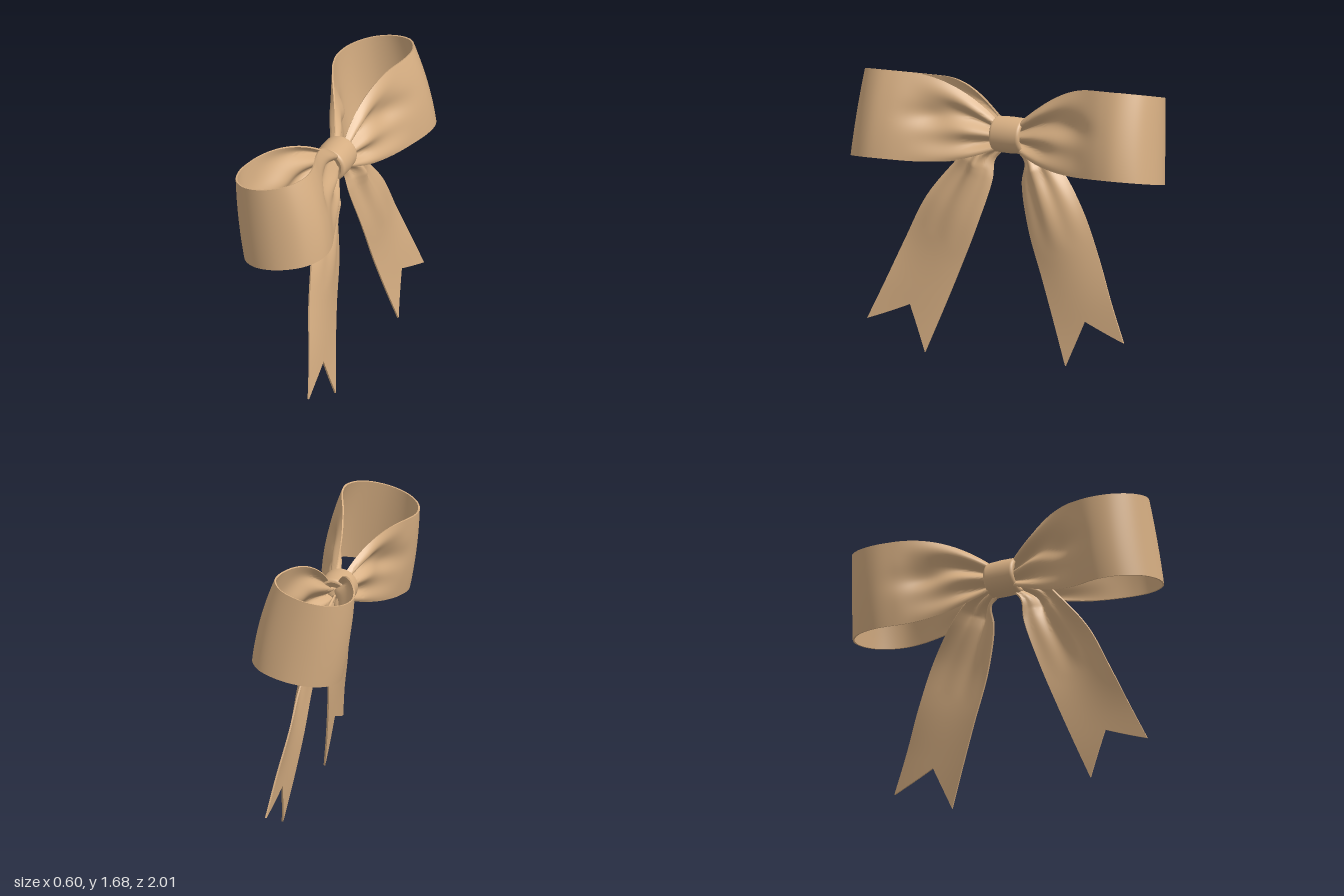
import * as THREE from 'three';
import { toCreasedNormals } from 'three/addons/utils/BufferGeometryUtils.js';

const THICK = 0.01;
const KNOT_Y = 1.325;
const clamp = THREE.MathUtils.clamp;

// Thin solid ribbon from a mid-surface f(u, v), u along and v across, both 0..1
function ribbon(f, nu, nv) {
  const pos = [], index = [], ring = 2 * (nv + 1), e = 0.004;
  const at = (u, v, side) => {
    const du = f(Math.min(u + e, 1), v).sub(f(Math.max(u - e, 0), v));
    const dv = f(u, Math.min(v + e, 1)).sub(f(u, Math.max(v - e, 0)));
    const n = du.cross(dv).normalize();
    return f(u, v).addScaledVector(n, side * THICK / 2);
  };
  for (let i = 0; i <= nu; i++) {
    for (let j = 0; j <= nv; j++) pos.push(...at(i / nu, j / nv, 1).toArray());
    for (let j = nv; j >= 0; j--) pos.push(...at(i / nu, j / nv, -1).toArray());
  }
  for (let i = 0; i < nu; i++) {
    for (let j = 0; j < ring; j++) {
      const k = (j + 1) % ring;
      const a = i * ring + j, b = a + ring, c = (i + 1) * ring + k, d = i * ring + k;
      index.push(a, b, c, a, c, d);
    }
  }
  // cap the free end
  const base = nu * ring;
  for (let j = 0; j < nv; j++) {
    const a = base + j, b = a + 1, d = base + ring - 1 - j, c = d - 1;
    index.push(a, d, c, a, c, b);
  }
  const g = new THREE.BufferGeometry();
  g.setAttribute('position', new THREE.Float32BufferAttribute(pos, 3));
  g.setIndex(index);
  return toCreasedNormals(g, 0.9);
}

// Teardrop path of a loop, as (z, x), from the knot out along +x and back along -x
const loopPath = new THREE.CatmullRomCurve3([
  [0.05, 0.03], [0.12, 0.046], [0.3, 0.1], [0.5, 0.172], [0.7, 0.24], [0.82, 0.24],
  [0.93, 0.165], [0.98, 0.01], [0.95, -0.14], [0.86, -0.24], [0.74, -0.274],
  [0.62, -0.25], [0.5, -0.2], [0.3, -0.11], [0.12, -0.046], [0.05, -0.03],
].map(([z, x]) => new THREE.Vector3(x, 0, z)));

const bump = (a, b) => Math.exp(-a * a - b * b);

function loopPoint(u, v, side) {
  const p = loopPath.getPoint(u);
  const w = 2 * v - 1;
  const t = clamp((p.z - 0.07) / 0.54, 0, 1);
  const open = 1 - (1 - t) ** 2;
  const out = u < 0.5 ? 1 : -1;
  // pleats gathered at the knot, fading outwards
  const fade = clamp(1 - p.z / 0.6, 0, 1);
  const pleat = 0.055 * Math.min(1, 0.2 + p.z * 3.5) * fade ** 1.3 * Math.cos(w * 7.5 + 0.6);
  // soft dimple beyond the pleats, with a puff below it
  const dimple = -0.045 * bump((p.z - 0.46) / 0.13, (w - 0.05) / 0.28);
  const puff = 0.025 * bump((p.z - 0.28) / 0.12, (w + 0.45) / 0.3);
  // the band leans and bows across its width
  const lean = -w * (0.05 + 0.06 * p.x) - w * w * (0.005 + 0.06 * p.x);
  return new THREE.Vector3(
    p.x + lean * open + out * (pleat + dimple + puff),
    KNOT_Y + open * (0.05 + 0.2 * p.x) + w * (0.08 + 0.175 * open),
    side * p.z * (1 - 0.02 * w * open),
  );
}

// Long edges of a tail, from the knot to its two tips
const edge = (pts) => new THREE.CatmullRomCurve3(pts.map((p) => new THREE.Vector3(...p)));
const outerEdge = edge([
  [0, 1.31, 0.04], [0.01, 1.24, 0.25], [0.02, 1.12, 0.37], [0.075, 0.92, 0.52],
  [0.115, 0.65, 0.645], [0.165, 0.4, 0.75], [0.202, 0.175, 0.85],
]);
const innerEdge = edge([
  [0, 1.24, 0.04], [0.01, 1.17, 0.1], [0.045, 1.05, 0.1], [0.1, 0.785, 0.17],
  [0.13, 0.5, 0.275], [0.165, 0.25, 0.37], [0.206, 0.003, 0.465],
]);

function tailPoint(u, v, side) {
  const notch = 1 - Math.abs(2 * v - 1);
  const s = u * (1 - 0.135 * notch);
  const p = innerEdge.getPoint(s).lerp(outerEdge.getPoint(s), v);
  const fade = clamp(1 - s / 0.6, 0, 1);
  const arch = Math.sin(Math.PI * v);
  p.x += 0.14 * arch * Math.min(1, s * 4) * (1 - s) ** 1.7;
  p.x += 0.03 * arch * fade * Math.min(1, s * 6) * Math.cos(v * 15);
  p.z *= side;
  return p;
}

// Rounded band round the middle, lying along z
function knotGeometry() {
  const pts = [[0.05, -0.08], [0.086, -0.1]];
  for (let i = 0; i <= 6; i++) {
    const a = (i / 6) * Math.PI / 2;
    pts.push([0.086 + 0.021 * Math.sin(a), -0.08 - 0.02 * Math.cos(a)]);
  }
  pts.push([0.11, 0]);
  const half = pts.slice(0, -1).reverse().map(([r, y]) => [r, -y]);
  const profile = [...pts, ...half].map(([r, y]) => new THREE.Vector2(r, y));
  return new THREE.LatheGeometry(profile, 40).rotateX(Math.PI / 2);
}

export function createModel() {
  const satin = new THREE.MeshStandardMaterial({ color: 0xd6ae82 });
  satin.name = 'tan ribbon';
  const group = new THREE.Group();
  group.name = 'ribbonBow';
  const add = (name, geometry) => {
    const mesh = new THREE.Mesh(geometry, satin);
    mesh.name = name;
    group.add(mesh);
    return mesh;
  };

  add('knot', knotGeometry()).position.y = KNOT_Y;
  for (const [side, label] of [[1, 'front'], [-1, 'back']]) {
    add(label + 'Loop', ribbon((u, v) => loopPoint(u, v, side), 110, 40));
    add(label + 'Tail', ribbon((u, v) => tailPoint(u, v, side), 60, 32));
  }
  return group;
}
